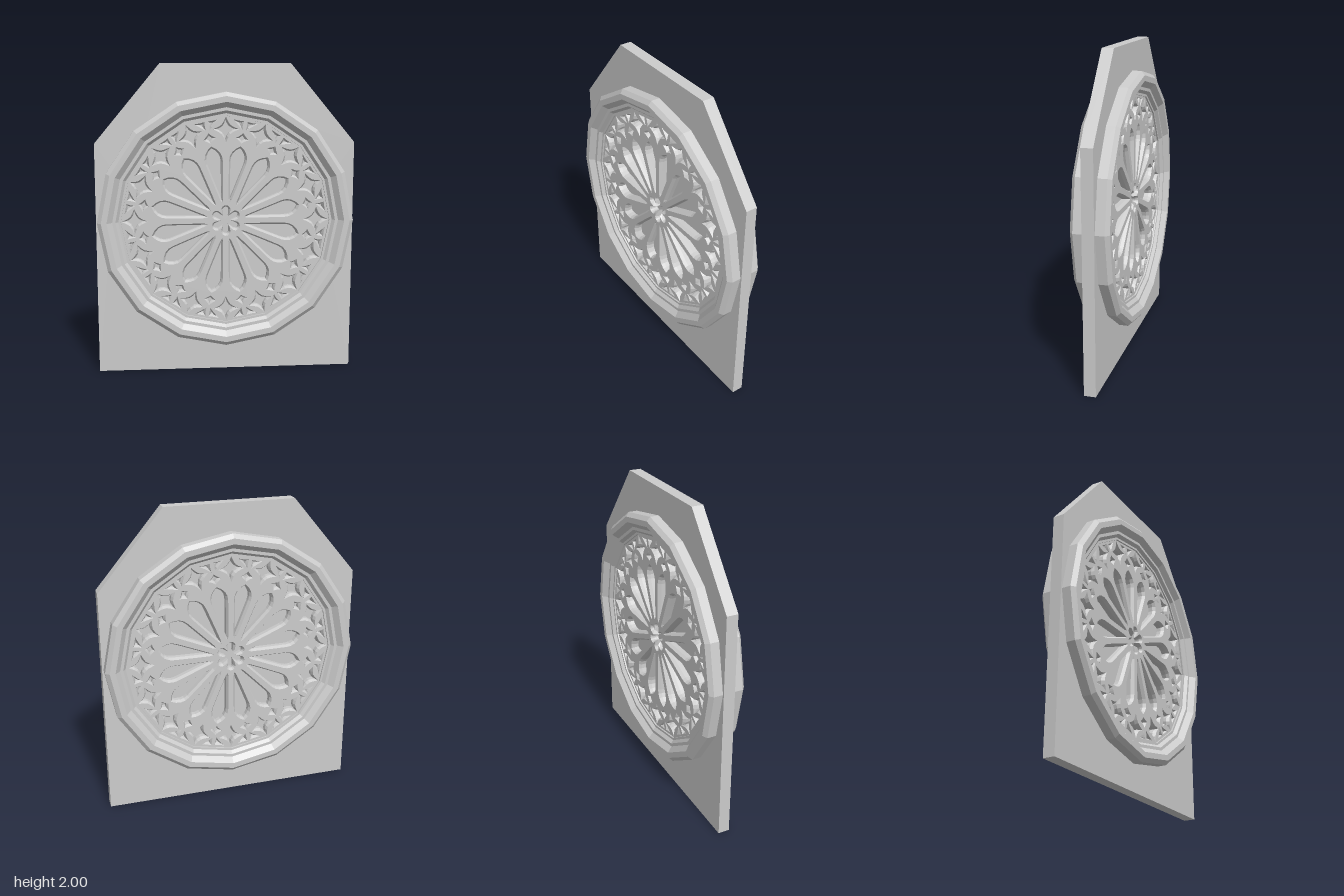
import * as THREE from 'three';

const SIDES = 16, CY = 1, STEP = Math.PI * 2 / SIDES;
const mat = new THREE.MeshStandardMaterial({ color: 0xcccccc, flatShading: true });

function add(group, name, geometry) {
  const mesh = new THREE.Mesh(geometry, mat);
  mesh.name = name;
  group.add(mesh);
  return mesh;
}

// Regular polygon with a corner straight up, counter-clockwise
function polygon(r, PathType, cy = 0) {
  const pts = [];
  for (let i = 0; i < SIDES; i++) pts.push(new THREE.Vector2(-r * Math.sin(i * STEP), cy + r * Math.cos(i * STEP)));
  return new PathType(pts);
}

// Turns points (across, radius) about the centre
function hole(points, angle) {
  return new THREE.Path(points.map(([u, r]) => new THREE.Vector2(u, r).rotateAround(new THREE.Vector2(), -angle)));
}

// Closed outline with each side bowed towards the middle
function bowed(corners, bow, n = 4) {
  const cx = corners.reduce((s, c) => s + c[0], 0) / corners.length;
  const cy = corners.reduce((s, c) => s + c[1], 0) / corners.length;
  const out = [];
  corners.forEach((a, i) => {
    const b = corners[(i + 1) % corners.length];
    for (let k = 0; k < n; k++) {
      const t = k / n, w = 4 * t * (1 - t) * bow;
      const x = a[0] + (b[0] - a[0]) * t, y = a[1] + (b[1] - a[1]) * t;
      out.push([x + (cx - x) * w, y + (cy - y) * w]);
    }
  });
  return out;
}

// Long petal opening: narrow at the hub, rounded with a pointed tip
function petal() {
  const side = [[0.01, 0.14], [0.026, 0.22], [0.043, 0.31], [0.056, 0.38], [0.057, 0.41], [0.048, 0.44], [0.028, 0.467]];
  return [[0, 0.118], ...side, [0, 0.488], ...side.map(([u, r]) => [-u, r]).reverse()];
}

// Six-lobed opening at the hub
function sixfoil() {
  const pts = [];
  for (let i = 0; i < 48; i++) {
    const a = i / 48 * Math.PI * 2;
    const r = 0.048 + 0.052 * Math.sqrt(Math.abs(Math.cos(3 * a)));
    pts.push([r * Math.sin(a), r * Math.cos(a)]);
  }
  return pts;
}

export function createModel() {
  const model = new THREE.Group();

  // Wall slab with clipped upper corners
  const slab = new THREE.Shape([[-0.833, 0], [0.833, 0], [0.833, 1.5], [0.415, 2], [-0.415, 2], [-0.833, 1.5]]
    .map(([x, y]) => new THREE.Vector2(x, y)));
  slab.holes.push(polygon(0.74, THREE.Path, CY));
  const slabGeo = new THREE.ExtrudeGeometry(slab, { depth: 0.074, bevelEnabled: false });
  slabGeo.translate(0, 0, -0.037);
  add(model, 'wallSlab', slabGeo);

  // Stepped moulding, the same on both faces
  const half = [[0.824, 0.095], [0.798, 0.118], [0.762, 0.118], [0.728, 0.085], [0.708, 0.085], [0.69, 0.065], [0.675, 0.065], [0.672, 0]];
  const profile = [...half.map(([r, z]) => [r, -z]).reverse(), ...half].map(([r, z]) => new THREE.Vector2(r, z));
  const ring = new THREE.LatheGeometry(profile, SIDES);
  ring.rotateX(Math.PI / 2);
  add(model, 'ringMoulding', ring).position.y = CY;

  // Tracery disc pierced by petals, stars and small lights
  const tracery = polygon(0.69, THREE.Shape);
  const star = bowed([[0, 0.668], [0.083, 0.588], [0, 0.503], [-0.083, 0.588]], 0.3);
  const dagger = bowed([[0, 0.506], [0.042, 0.535], [0, 0.574], [-0.042, 0.535]], 0.1);
  const light = bowed([[0.01, 0.648], [0.08, 0.648], [0.012, 0.59]], 0.1);
  const mirrored = light.map(([u, r]) => [-u, r]);
  tracery.holes.push(hole(sixfoil(), 0));
  for (let i = 0; i < SIDES; i++) {
    const mid = (i + 0.5) * STEP;
    tracery.holes.push(hole(star, i * STEP), hole(petal(), mid), hole(dagger, mid), hole(light, mid), hole(mirrored, mid));
  }
  const traceryGeo = new THREE.ExtrudeGeometry(tracery, {
    depth: 0.07, bevelEnabled: true, bevelThickness: 0.02, bevelSize: 0.011, bevelSegments: 1,
  });
  traceryGeo.translate(0, 0, -0.035);
  add(model, 'tracery', traceryGeo).position.y = CY;

  // Thin pane closing the openings
  const pane = new THREE.CylinderGeometry(0.68, 0.68, 0.008, SIDES);
  pane.rotateX(Math.PI / 2);
  add(model, 'pane', pane).position.y = CY;

  return model;
}
